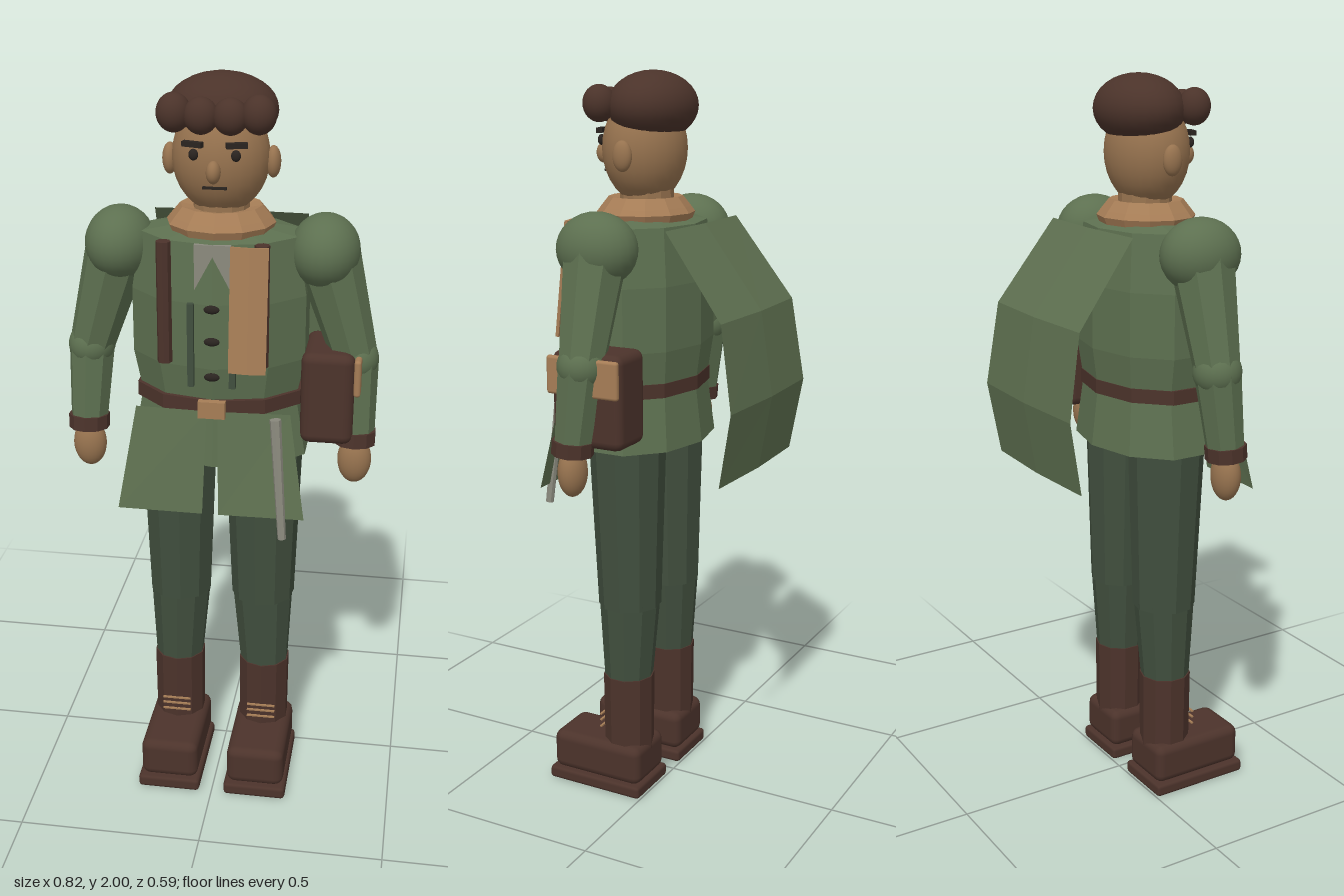
import * as THREE from 'three';
import { RoundedBoxGeometry } from 'three/addons/geometries/RoundedBoxGeometry.js';

const V = (x, y, z) => new THREE.Vector3(x, y, z);

export function createModel() {
  const model = new THREE.Group();
  model.name = 'uniformedFigure';

  const mat = (name, color) => {
    const m = new THREE.MeshStandardMaterial({ color });
    m.name = name;
    return m;
  };
  const jacket = mat('jacket green', 0x5d7050);
  const trouser = mat('trouser green', 0x414f3e);
  const leather = mat('dark leather', 0x4c332b);
  const hairBrown = mat('hair brown', 0x4b332a);
  const skin = mat('skin', 0x97734f);
  const tan = mat('tan cloth', 0xa67d56);
  const steel = mat('grey', 0x8b8a7e);
  const dark = mat('dark detail', 0x2a2420);
  const cloth = mat('cloth panel green', 0x5e7050);
  cloth.side = THREE.DoubleSide;

  // --- helpers ---
  const add = (name, geo, material, x = 0, y = 0, z = 0) => {
    const m = new THREE.Mesh(geo, material);
    m.name = name;
    m.position.set(x, y, z);
    model.add(m);
    return m;
  };
  const flat = (geo) => {
    const g = geo.index ? geo.toNonIndexed() : geo;
    g.computeVertexNormals();
    return g;
  };
  const ball = (name, material, p, r) => {
    const g = new THREE.SphereGeometry(1, 24, 16);
    g.scale(...r);
    return add(name, g, material, ...p);
  };
  const box = (name, material, p, s) => add(name, new THREE.BoxGeometry(...s), material, ...p);
  // Faceted tapered limb from a to b
  const limb = (name, material, a, b, ra, rb, sides = 8) => {
    const dir = b.clone().sub(a);
    const g = new THREE.CylinderGeometry(rb, ra, dir.length(), sides);
    g.applyQuaternion(new THREE.Quaternion().setFromUnitVectors(V(0, 1, 0), dir.normalize()));
    const c = a.clone().add(b).multiplyScalar(0.5);
    return add(name, flat(g), material, c.x, c.y, c.z);
  };
  // Faceted oval body from [radius, y] points
  const oval = (name, material, pts, sides, depth, z) => {
    const g = new THREE.LatheGeometry(pts.map(([r, y]) => new THREE.Vector2(r, y)), sides);
    g.scale(1, 1, depth);
    return add(name, flat(g), material, 0, 0, z);
  };
  // Open sheet from rows of equal-length points
  const sheet = (name, rows) => {
    const n = rows[0].length, index = [];
    for (let i = 0; i < rows.length - 1; i++) for (let j = 0; j < n - 1; j++) {
      const a = i * n + j, b = a + n;
      index.push(a, b, a + 1, a + 1, b, b + 1);
    }
    const g = new THREE.BufferGeometry().setFromPoints(rows.flat());
    g.setIndex(index);
    return add(name, flat(g), cloth);
  };

  // --- jacket body and belt ---
  oval('jacketBody', jacket, [[0, 1.02], [0.242, 1.02], [0.214, 1.18], [0.236, 1.29],
    [0.236, 1.46], [0.21, 1.61], [0.12, 1.625], [0, 1.625]], 10, 0.69, 0.08);
  oval('belt', leather, [[0.2, 1.165], [0.226, 1.165], [0.226, 1.203], [0.2, 1.203]], 10, 0.7, 0.085);
  box('beltBuckle', tan, [0, 1.183, 0.247], [0.07, 0.045, 0.02]);
  box('shirtFront', steel, [0, 1.535, 0.22], [0.092, 0.15, 0.017]);
  for (const y of [1.45, 1.365, 1.27]) ball('jacketButton', dark, [0, y, 0.244], [0.02, 0.011, 0.008]);

  // --- collar and neck ---
  oval('collar', tan, [[0.1, 1.605], [0.13, 1.612], [0.14, 1.635], [0.128, 1.65],
    [0.105, 1.677], [0.07, 1.67]], 12, 0.92, 0.083);
  limb('neck', skin, V(0, 1.6, 0.08), V(0, 1.72, 0.08), 0.075, 0.07, 12);

  // --- head ---
  ball('head', skin, [0, 1.8, 0.085], [0.123, 0.145, 0.11]);
  ball('nose', skin, [0, 1.785, 0.208], [0.018, 0.028, 0.024]);
  box('mouth', dark, [0, 1.742, 0.188], [0.06, 0.006, 0.008]);
  ball('hairCap', hairBrown, [0, 1.91, 0.06], [0.14, 0.09, 0.113]);
  for (const s of [-1, 1]) {
    ball('ear', skin, [s * 0.13, 1.787, 0.08], [0.019, 0.04, 0.027]);
    ball('eye', dark, [s * 0.052, 1.822, 0.187], [0.012, 0.014, 0.009]);
    box('eyebrow', dark, [s * 0.054, 1.847, 0.186], [0.052, 0.013, 0.016]).rotation.y = s * 0.3;
    ball('outerCurl', hairBrown, [s * 0.104, 1.917, 0.162], [0.043, 0.048, 0.043]);
    ball('innerCurl', hairBrown, [s * 0.036, 1.912, 0.17], [0.043, 0.045, 0.038]);
  }

  // --- arms, legs and boots ---
  for (const s of [-1, 1]) {
    const elbow = V(s * 0.35, 1.28, 0.077), wrist = V(s * 0.36, 1.07, 0.1);
    ball('shoulder', jacket, [s * 0.264, 1.565, 0.078], [0.09, 0.095, 0.109]);
    limb('upperArm', jacket, V(s * 0.272, 1.55, 0.078), elbow, 0.084, 0.06);
    ball('elbow', jacket, elbow.toArray(), [0.062, 0.062, 0.064]);
    limb('forearm', jacket, elbow, wrist, 0.062, 0.05);
    limb('cuff', leather, V(s * 0.36, 1.05, 0.103), V(s * 0.36, 1.088, 0.1), 0.055, 0.055, 10);
    ball('hand', skin, [s * 0.36, 1.003, 0.103], [0.045, 0.067, 0.037]);

    limb('upperLeg', trouser, V(s * 0.115, 1.06, 0.08), V(s * 0.117, 0.56, 0.075), 0.106, 0.087, 10);
    limb('lowerLeg', trouser, V(s * 0.117, 0.575, 0.075), V(s * 0.123, 0.34, 0.077), 0.085, 0.068, 10);
    limb('bootShaft', leather, V(s * 0.123, 0.12, 0.077), V(s * 0.123, 0.35, 0.077), 0.07, 0.072, 10);
    add('bootFoot', new RoundedBoxGeometry(0.162, 0.115, 0.28, 2, 0.025), leather, s * 0.123, 0.095, 0.147);
    add('bootSole', new RoundedBoxGeometry(0.176, 0.036, 0.294, 1, 0.01), leather, s * 0.123, 0.022, 0.149);
    for (const y of [0.18, 0.2, 0.218])
      box('bootLace', tan, [s * 0.123, y, 0.149], [0.08, 0.004, 0.006]);

    // chest straps and lapel edges
    limb('chestStrap', leather, V(s * 0.123, 1.3, 0.226), V(s * 0.123, 1.615, 0.224), 0.019, 0.019);
    box('lapelEdge', trouser, [s * 0.053, 1.355, 0.247], [0.016, 0.22, 0.014]);

    // coat skirt panel, corners ordered to face forward on both sides
    const panel = [[V(s * 0.2, 1.175, 0.234), V(s * 0.014, 1.175, 0.242)],
      [V(s * 0.245, 0.9, 0.28), V(s * 0.021, 0.9, 0.283)]];
    sheet('coatSkirt', s > 0 ? panel.map((r) => r.reverse()) : panel);
  }

  // --- hanging scarf end, folded along its middle ---
  for (const s of [-1, 1]) {
    const half = box('scarfEnd', tan, [0.095 + s * 0.023, 1.458, 0.268], [0.048, 0.316, 0.009]);
    half.rotation.set(-0.115, s * 0.15, 0);
  }

  // --- satchel with its flap ---
  add('satchel', new RoundedBoxGeometry(0.138, 0.25, 0.205, 2, 0.025), leather, 0.286, 1.19, 0.067);
  add('satchelFlap', new RoundedBoxGeometry(0.018, 0.1, 0.208, 2, 0.008), tan, 0.363, 1.255, 0.067);

  // --- slim blade hanging from the belt ---
  limb('blade', steel, V(0.19, 0.845, 0.287), V(0.165, 1.17, 0.258), 0.011, 0.015);

  // --- short cape, ridged along its centre ---
  const capeRows = [[0.205, 1.613, -0.085], [0.222, 1.395, -0.25], [0.233, 1.17, -0.285], [0.226, 0.97, -0.25]];
  sheet('cape', capeRows.map(([w, y, z]) => [V(w, y, z), V(0, y, z - 0.009), V(-w, y, z)]));

  return model;
}
